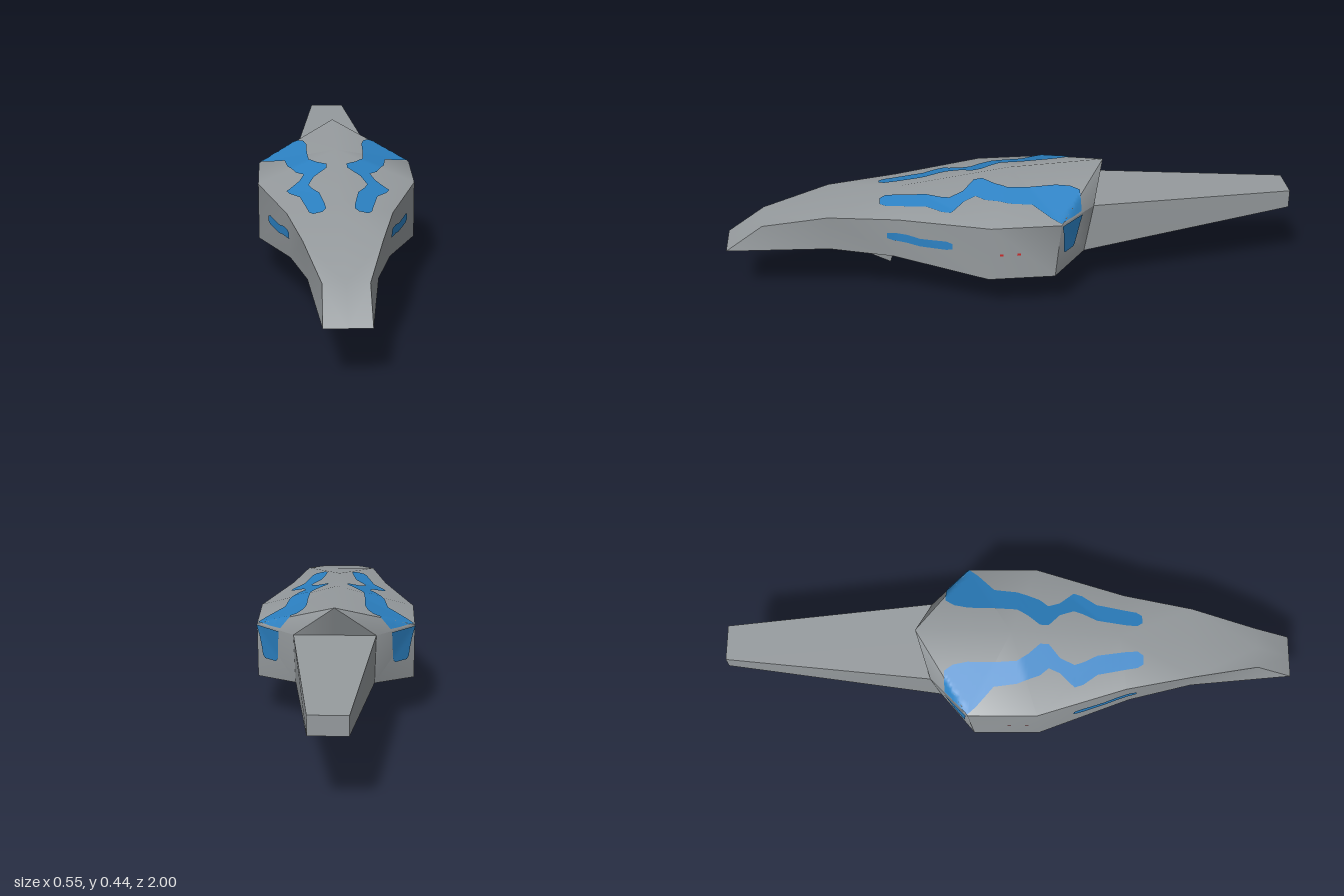
import * as THREE from 'three';
import { toCreasedNormals } from 'three/addons/utils/BufferGeometryUtils.js';

const gray = new THREE.MeshStandardMaterial({ color: 0x969b9e, side: THREE.DoubleSide });
gray.name = 'hull gray';
const blue = new THREE.MeshStandardMaterial({ color: 0x2c82c4, side: THREE.DoubleSide });
blue.name = 'stripe blue';
const red = new THREE.MeshStandardMaterial({ color: 0xd02a2a, side: THREE.DoubleSide });
red.name = 'marker red';

// Faces are given for the +x half and mirrored to the other side
function mirroredMesh(name, faces, crease) {
  const pos = [];
  for (const f of faces) {
    for (let i = 1; i < f.length - 1; i++) {
      const t = [f[0], f[i], f[i + 1]];
      for (const p of t) pos.push(...p);
      for (const p of t.reverse()) pos.push(-p[0], p[1], p[2]);
    }
  }
  const g = new THREE.BufferGeometry();
  g.setAttribute('position', new THREE.Float32BufferAttribute(pos, 3));
  const m = new THREE.Mesh(toCreasedNormals(g, crease), gray);
  m.name = name;
  return m;
}

const mid = (p) => [0, p[1], p[2]];

// Lays a thin painted strip on a target mesh; rows are [v, uStart, uEnd]
function drape(name, target, rows, origin, dir, material, side, across = 8, along = 4) {
  const ray = new THREE.Raycaster();
  const d = new THREE.Vector3(...dir).normalize();
  const pos = [], index = [];
  let count = 0;
  for (let i = 0; i < rows.length; i++) {
    const steps = i < rows.length - 1 ? along : 1;
    for (let k = 0; k < steps; k++, count++) {
      const next = rows[Math.min(i + 1, rows.length - 1)];
      const [v, u0, u1] = rows[i].map((a, n) => a + (next[n] - a) * k / steps);
      for (let j = 0; j <= across; j++) {
        const o = new THREE.Vector3(...origin(u0 + (u1 - u0) * j / across, v));
        ray.set(o, d);
        const hit = ray.intersectObject(target)[0];
        const p = hit ? hit.point : o.clone().addScaledVector(d, 1);
        p.addScaledVector(d, -0.004);
        pos.push(p.x * side, p.y, p.z);
      }
    }
  }
  const w = across + 1;
  for (let i = 0; i < count - 1; i++) {
    for (let j = 0; j < across; j++) {
      const a = i * w + j, b = a + 1, c = a + w, e = c + 1;
      if (side > 0) index.push(a, c, b, b, c, e);
      else index.push(a, b, c, b, e, c);
    }
  }
  const g = new THREE.BufferGeometry();
  g.setAttribute('position', new THREE.Float32BufferAttribute(pos, 3));
  g.setIndex(index);
  g.computeVertexNormals();
  const m = new THREE.Mesh(g, material);
  m.name = name;
  return m;
}

export function createModel() {
  const group = new THREE.Group();

  // Shoulder line (T), keel line (B) and roof ridge (R), nose to tail
  const N = [0.075, 0.19, 1];
  const T = [[0.073, 0.28, 0.87], [0.127, 0.33, 0.64], [0.175, 0.335, 0.4], [0.273, 0.335, 0.09],
    [0.273, 0.335, -0.15], [0.14, 0.335, -0.28], [0.063, 0.315, -1]];
  const B = [N, [0.113, 0.2, 0.64], [0.165, 0.188, 0.42], [0.273, 0.138, 0.1],
    [0.273, 0.138, -0.13], [0.135, 0.155, -0.25], [0.063, 0.25, -1]];
  const R3 = [0, 0.377, 0.38], R4 = [0, 0.43, 0], R5 = [0, 0.445, -0.33];
  const wall = (i) => [T[i], B[i], B[i + 1], T[i + 1]];
  const floor = (i) => [mid(B[i + 1]), B[i + 1], B[i], mid(B[i])];

  // Hull: sloped nose, peaked roof, walls and belly
  const hullFaces = [
    [mid(N), N, T[0], mid(T[0])],
    [mid(T[0]), T[0], T[1], mid(T[1])],
    [mid(T[1]), T[1], R3],
    [T[1], T[2], R3],
    [R3, T[2], T[3], R4],
    [R4, T[3], T[4]],
    [R4, T[4], R5],
    [T[4], T[5], R5],
    [R5, T[5], mid(T[5])],
  ];
  for (let i = 0; i < 5; i++) hullFaces.push(wall(i), floor(i));
  const hull = mirroredMesh('hull', hullFaces, 0.85);
  group.add(hull);

  // Tapered tail boom
  group.add(mirroredMesh('tailBoom', [
    [mid(T[5]), T[5], T[6], mid(T[6])],
    wall(5), floor(5),
    [T[6], B[6], mid(B[6]), mid(T[6])],
  ], 0.4));

  // Belly fins: a wide leading edge sweeping back to a thin trailing edge
  const fin = (name, top, tip, backTop, backTip) => group.add(mirroredMesh(name, [
    [mid(top), mid(tip), tip, top],
    [top, tip, backTip, backTop],
    [mid(tip), backTip, tip],
  ], 0.3));
  fin('frontFin', [0.05, 0.205, 0.63], [0.001, 0.072, 0.43], [0, 0.2, 0.395], [0, 0.075, 0.429]);
  fin('rearFin', [0.07, 0.145, 0.1], [0.037, 0, -0.06], [0, 0.145, -0.135], [0, 0, -0.145]);

  // Painted stripes and markers on both sides
  const roofRows = [[-0.23, 0.13, 0.188], [-0.2, 0.11, 0.22], [-0.15, 0.1, 0.27], [-0.12, 0.1, 0.245],
    [-0.06, 0.1, 0.18], [0.02, 0.095, 0.17], [0.06, 0.07, 0.155], [0.1, 0.035, 0.14],
    [0.13, 0.035, 0.115], [0.17, 0.08, 0.13], [0.22, 0.1, 0.175], [0.25, 0.09, 0.165],
    [0.3, 0.065, 0.13], [0.4, 0.05, 0.11], [0.44, 0.047, 0.103], [0.46, 0.06, 0.09]];
  const rearRows = [[0.332, 0.0, 0.62], [0.3, 0.06, 0.58], [0.26, 0.1, 0.54], [0.225, 0.12, 0.5], [0.215, 0.17, 0.45]];
  const sideRows = [[0.22, 0.265, 0.245], [0.24, 0.272, 0.24], [0.33, 0.272, 0.242],
    [0.37, 0.282, 0.25], [0.42, 0.285, 0.255], [0.44, 0.282, 0.262]];
  const fromSide = (u, v) => [1, u, v];
  for (const s of [1, -1]) {
    const label = s > 0 ? 'left' : 'right';
    group.add(drape(label + 'RoofStripe', hull, roofRows, (u, v) => [u, 1, v], [0, -1, 0], blue, s));
    group.add(drape(label + 'RearStripe', hull, rearRows,
      (u, v) => [1.273 - 0.133 * u, v, -1.15 - 0.13 * u], [-1, 0, 1], blue, s));
    group.add(drape(label + 'SideStripe', hull, sideRows, fromSide, [-1, 0, 0], blue, s));
    for (const z of [0.055, -0.005]) {
      group.add(drape(label + 'Marker', hull, [[z - 0.006, 0.237, 0.229], [z + 0.006, 0.237, 0.229]],
        fromSide, [-1, 0, 0], red, s, 1, 1));
    }
  }
  return group;
}
